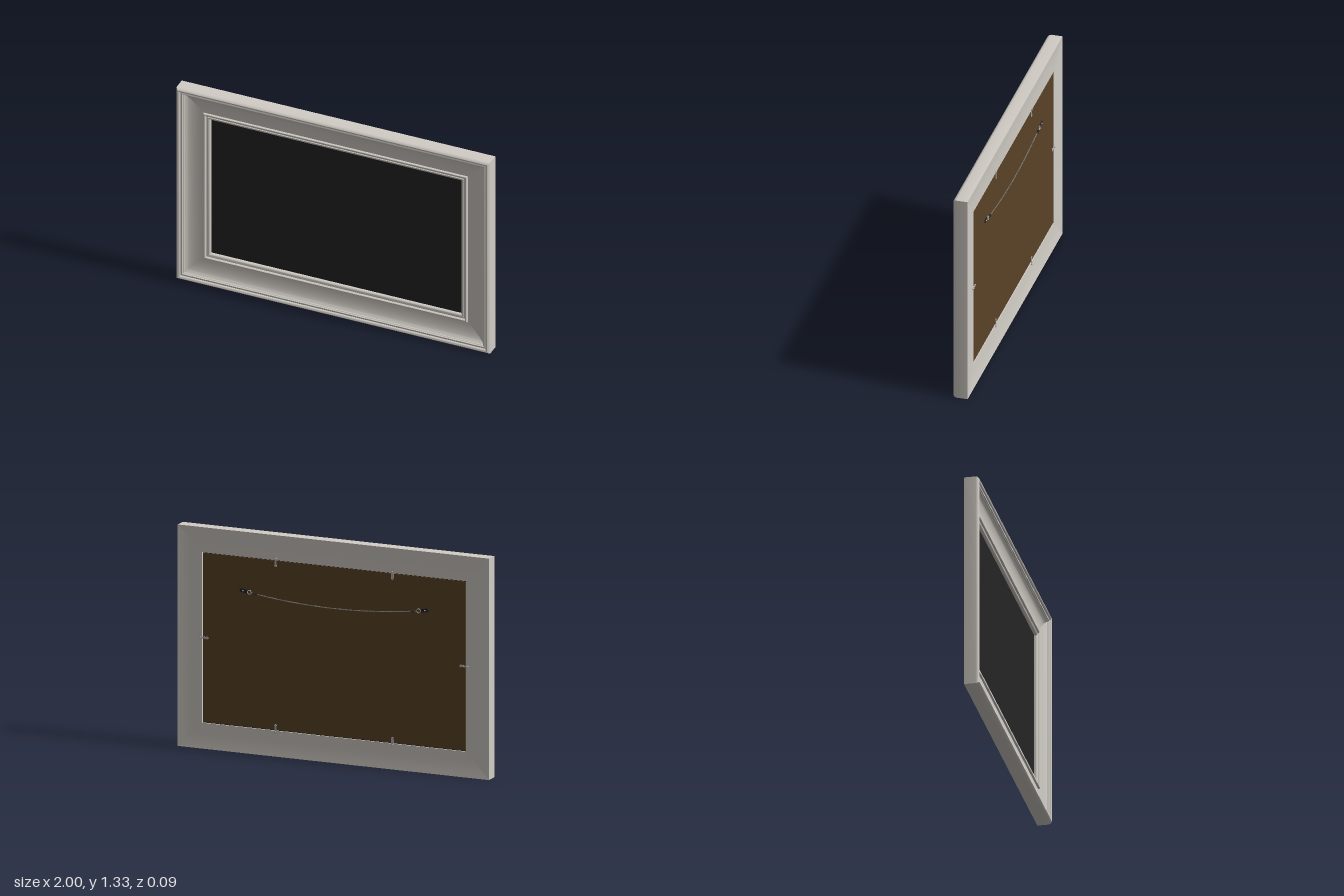
import * as THREE from 'three';
import { toCreasedNormals } from 'three/addons/utils/BufferGeometryUtils.js';

const HALF_W = 1, HALF_H = 0.665, MID_Y = 0.665;
const REBATE = 0.153; // inset of the recess that holds the backing

const colour = (name, color, side = THREE.FrontSide) => {
  const m = new THREE.MeshStandardMaterial({ color, side });
  m.name = name;
  return m;
};

// Moulding section as [inset from outer edge, z], outer back round to inner back
function mouldingProfile() {
  const p = [[0, -0.045], [0, 0.024], [0.002, 0.033], [0.007, 0.041], [0.013, 0.045],
    [0.02, 0.044], [0.025, 0.039], [0.027, 0.032], [0.031, 0.035], [0.038, 0.035], [0.042, 0.029]];
  // hollow sweeping down to the sight edge
  for (let i = 0; i <= 10; i++) {
    const a = (i / 10) * Math.PI / 2;
    p.push([0.158 - 0.113 * Math.cos(a), 0.028 - 0.033 * Math.sin(a)]);
  }
  // inner beads and lip
  p.push([0.159, 0.002], [0.163, 0.006], [0.169, 0.006], [0.173, 0.002], [0.175, -0.005],
    [0.181, -0.005], [0.184, -0.001], [0.19, -0.001], [0.196, -0.005], [0.2, -0.012],
    [0.2, -0.02], [REBATE, -0.02], [REBATE, -0.036]);
  // dished back
  p.push([0.115, -0.037], [0.075, -0.0385], [0.035, -0.0412], [0, -0.045]);
  return p;
}

// One mitred rail between two corner sign pairs
function railGeometry(profile, from, to) {
  const corner = ([sx, sy], [d, z]) => [sx * (HALF_W - d), MID_Y + sy * (HALF_H - d), z];
  const pos = [];
  for (let i = 0; i < profile.length - 1; i++) {
    const a = corner(from, profile[i]), b = corner(to, profile[i]);
    const c = corner(to, profile[i + 1]), d = corner(from, profile[i + 1]);
    pos.push(...a, ...b, ...c, ...a, ...c, ...d);
  }
  const g = new THREE.BufferGeometry();
  g.setAttribute('position', new THREE.Float32BufferAttribute(pos, 3));
  return toCreasedNormals(g, 0.65);
}

export function createModel() {
  const model = new THREE.Group();
  model.name = 'pictureFrame';
  const paint = colour('framePaint', 0xd2cdc6);
  const black = colour('blackPanel', 0x252525);
  const brown = colour('brownBoard', 0x5a4327);
  const steel = colour('steel', 0xb4b4b4);
  const wireGrey = colour('wireGrey', 0x77756f);
  const dark = colour('darkMetal', 0x25221f);

  const add = (parent, name, geo, mat, x = 0, y = 0, z = 0) => {
    const m = new THREE.Mesh(geo, mat);
    m.name = name;
    m.position.set(x, y, z);
    parent.add(m);
    return m;
  };

  // Four rails
  const profile = mouldingProfile();
  const corners = [[-1, -1], [1, -1], [1, 1], [-1, 1]];
  ['bottomRail', 'leftRail', 'topRail', 'rightRail'].forEach((name, i) =>
    add(model, name, railGeometry(profile, corners[i], corners[(i + 1) % 4]), paint));

  // Picture panel and backing board
  const w = 2 * (HALF_W - REBATE), h = 2 * (HALF_H - REBATE);
  add(model, 'picturePanel', new THREE.BoxGeometry(w, h, 0.006), black, 0, MID_Y, -0.0235);
  add(model, 'backingBoard', new THREE.BoxGeometry(w - 0.008, h - 0.008, 0.006), brown, 0, MID_Y, -0.0295);

  // Turn clips: a narrow bar with a screw, pointing towards the middle of the board
  const edgeX = HALF_W - REBATE, edgeY = HALF_H - REBATE;
  const clips = [
    [0.375, edgeY, 0], [-0.375, edgeY, 0], [0.375, -edgeY, Math.PI], [-0.375, -edgeY, Math.PI],
    [edgeX, 0, -Math.PI / 2], [-edgeX, 0, Math.PI / 2],
  ];
  for (const [x, y, turn] of clips) {
    const clip = new THREE.Group();
    clip.name = 'turnClip';
    clip.position.set(x, MID_Y + y, -0.037);
    clip.rotation.z = turn;
    add(clip, 'clipBar', new THREE.BoxGeometry(0.012, 0.042, 0.003), steel, 0, -0.012, 0);
    for (const [cy, r] of [[0.008, 0.009], [-0.032, 0.008]])
      add(clip, 'clipEnd', new THREE.CylinderGeometry(r, r, 0.004, 16), steel, 0, cy, 0).rotation.x = Math.PI / 2;
    add(clip, 'clipScrew', new THREE.SphereGeometry(0.005, 12, 8), steel, 0, 0.008, -0.002);
    model.add(clip);
  }

  // Hanging wire: two twisted strands on a shallow sag
  const wireZ = -0.037, sag = (x) => 0.926 + 0.14 * x * x;
  for (const phase of [0, Math.PI]) {
    const pts = [];
    for (let i = 0; i <= 240; i++) {
      const x = -0.53 + (1.06 * i) / 240, a = phase + i * 0.8;
      pts.push(new THREE.Vector3(x, sag(x) + 0.0018 * Math.cos(a), wireZ + 0.0018 * Math.sin(a)));
    }
    add(model, 'wireStrand', new THREE.TubeGeometry(new THREE.CatmullRomCurve3(pts), 480, 0.002, 5), wireGrey);
  }

  // Ring hangers, one at each end of the wire
  for (const s of [1, -1]) {
    const hanger = new THREE.Group();
    hanger.name = 'ringHanger';
    hanger.position.set(s * 0.53, sag(0.53), wireZ);
    hanger.rotation.z = s * 0.15;
    add(hanger, 'hangerPlate', new THREE.BoxGeometry(0.042, 0.022, 0.004), dark, s * 0.045, 0, 0.002);
    add(hanger, 'hangerPlateEnd', new THREE.CylinderGeometry(0.011, 0.011, 0.004, 16), dark, s * 0.066, 0, 0.002)
      .rotation.x = Math.PI / 2;
    add(hanger, 'hangerScrew', new THREE.SphereGeometry(0.005, 12, 8), steel, s * 0.055, 0, 0);
    add(hanger, 'hangerRing', new THREE.TorusGeometry(0.012, 0.0025, 8, 24), steel, s * 0.014, 0, 0);
    // wire wound back on itself
    for (let i = 0; i < 6; i++)
      add(hanger, 'wireWrap', new THREE.TorusGeometry(0.0045, 0.002, 6, 12), dark, -s * (0.012 + i * 0.0045), 0, 0)
        .rotation.y = Math.PI / 2;
    model.add(hanger);
  }
  return model;
}
